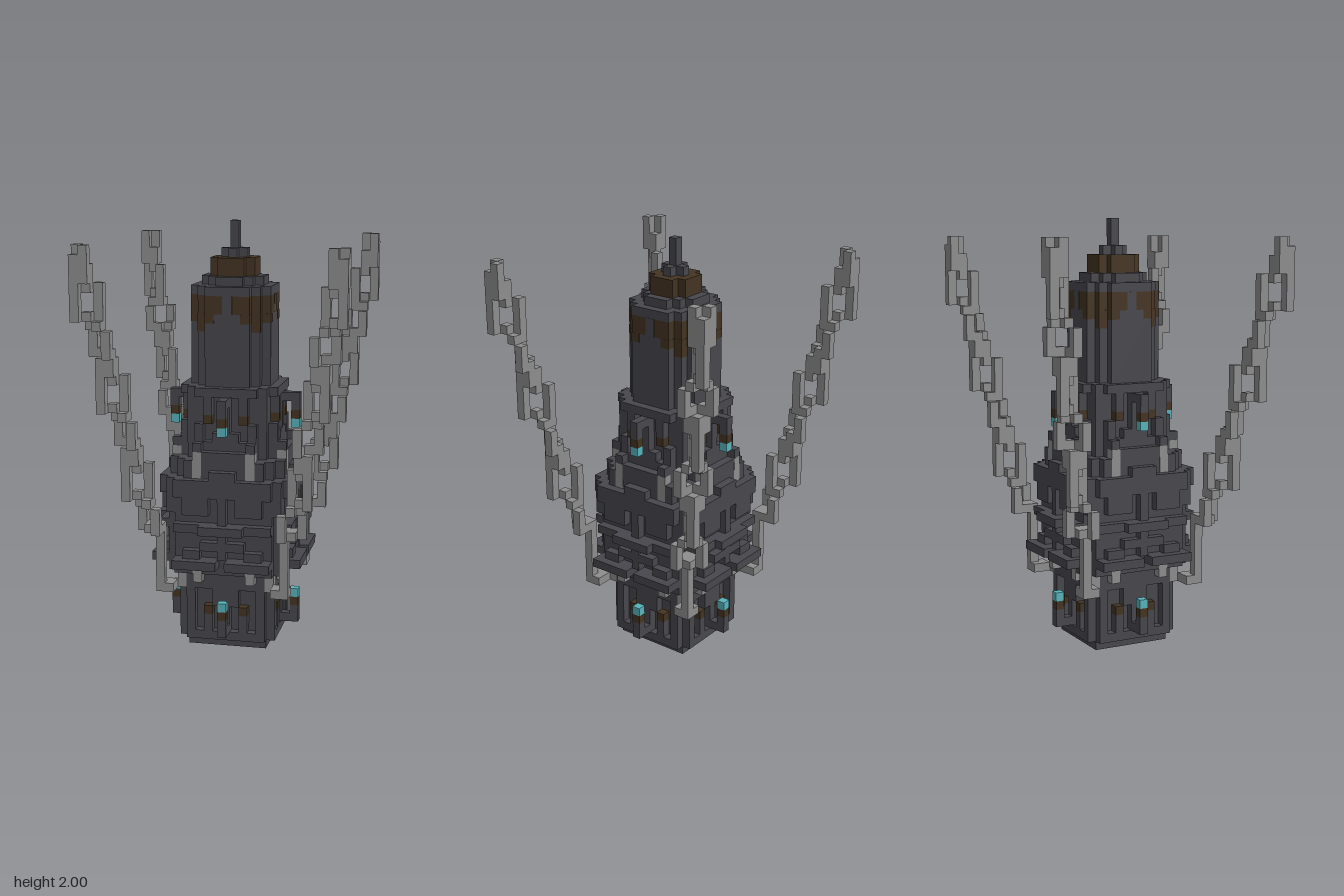
import * as THREE from 'three';
import { mergeGeometries } from 'three/addons/utils/BufferGeometryUtils.js';

const V = 1 / 24; // edge of one cube
const mat = (name, color) => new THREE.MeshStandardMaterial({ name, color });

// A part collects boxes given as inclusive cube ranges, then becomes one mesh
class Part {
  constructor(name, material) {
    this.name = name;
    this.material = material;
    this.list = [];
  }
  box(x0, x1, y0, y1, z0, z1, grow = 0) {
    const g = new THREE.BoxGeometry(x1 - x0 + 1 + 2 * grow, y1 - y0 + 1, z1 - z0 + 1 + 2 * grow);
    g.translate((x0 + x1) / 2, (y0 + y1 + 1) / 2, (z0 + z1) / 2);
    this.list.push(g.scale(V, V, V));
    return this;
  }
  // stepped octagon: arms reach a with half width b, corner block reaches m
  layer(y0, y1, a, b, m = b) {
    this.box(-a, a, y0, y1, -b, b);
    this.box(-b, b, y0, y1, -a, a);
    if (m > b) this.box(-m, m, y0, y1, -m, m);
    return this;
  }
  // box on the front face, mirrored in x
  pair(x0, x1, ...rest) {
    this.box(x0, x1, ...rest);
    if (x0 !== -x1) this.box(-x1, -x0, ...rest);
    return this;
  }
  // repeat everything collected on all four sides
  four() {
    const base = this.list;
    this.list = [0, 1, 2, 3].flatMap(k => base.map(g => g.clone().rotateY(k * Math.PI / 2)));
    return this;
  }
  mesh() {
    const m = new THREE.Mesh(mergeGeometries(this.list), this.material);
    m.name = this.name;
    return m;
  }
}

export function createModel() {
  const dark = mat('dark stone', 0x48474d);
  const brown = mat('dark wood', 0x443422);
  const grey = mat('chain grey', 0x8e8e8e);
  const cyan = mat('lantern cyan', 0x58b4bc);
  const orange = mat('ember orange', 0xd8742c);
  const group = new THREE.Group();
  const add = part => group.add(part.mesh());

  // Base ring, open underneath
  add(new Part('baseRing', dark).box(-4, 4, 0, 0, 3, 4).box(-4, -3, 0, 0, -2, 2).four());

  // Tower core from the bottom up
  add(new Part('towerCore', dark)
    .layer(1, 8, 4, 4)
    .layer(9, 17, 6, 5)
    .layer(18, 19, 7, 5, 6)
    .layer(20, 21, 6, 4, 5)
    .layer(22, 29, 4, 4)
    .layer(30, 37, 4, 2, 3)
    .layer(40, 40, 4, 2, 3)
    .layer(41, 41, 3, 1, 2));

  // Ledges and raised ribs on each face
  add(new Part('faceRelief', dark)
    .pair(-4, 4, 1, 1, 5, 5).pair(2, 2, 2, 3, 5, 5).pair(4, 4, 2, 6, 5, 5)
    .pair(-1, 1, 5, 6, 5, 5).pair(0, 0, 2, 4, 5, 5).pair(-4, 4, 7, 8, 5, 5)
    .pair(1, 5, 10, 10, 7, 8).pair(3, 4, 11, 11, 7, 7)
    .pair(0, 0, 11, 13, 7, 7).pair(1, 2, 12, 12, 7, 7)
    .pair(-5, 5, 14, 14, 7, 7).pair(-2, 2, 14, 14, 8, 8)
    .pair(0, 0, 15, 17, 7, 7).pair(2, 4, 16, 17, 7, 7).pair(6, 6, 16, 17, 6, 6)
    .pair(-1, 1, 20, 20, 7, 7).pair(-2, 2, 22, 22, 5, 6).pair(3, 3, 23, 23, 5, 6)
    .pair(-3, 3, 22, 23, 5, 5).pair(0, 0, 24, 28, 5, 5).pair(3, 3, 24, 25, 5, 5)
    .pair(2, 2, 27, 28, 5, 5).pair(1, 1, 24, 24, 5, 5).pair(-3, 3, 29, 29, 5, 5)
    .four());

  // Wooden pegs at the ends of the short posts
  add(new Part('woodenPegs', brown).pair(2, 2, 4, 4, 5, 5).pair(2, 2, 26, 26, 5, 5).four());

  // Grey studs on each face
  add(new Part('faceStuds', grey).pair(3, 3, 8, 9, 6, 6, 0.02).pair(3, 3, 20, 22, 6, 6, 0.02).four());

  // Lanterns on brackets, standing below and hanging above
  add(new Part('lanternBrackets', dark)
    .box(0, 0, 2, 2, 6, 7).box(0, 0, 3, 3, 7, 7)
    .box(0, 0, 28, 28, 6, 7).box(0, 0, 27, 27, 7, 7).four());
  add(new Part('lanternCaps', brown).box(0, 0, 4, 4, 7, 7).box(0, 0, 26, 26, 7, 7).four());
  add(new Part('lanternLights', cyan).box(0, 0, 5, 5, 7, 7).box(0, 0, 25, 25, 7, 7).four());

  // Wooden band near the top, split by a stone rib on each face
  add(new Part('woodenBand', brown)
    .layer(38, 39, 4, 2, 3)
    .pair(3, 3, 36, 37, 3, 3, 0.03).pair(2, 2, 37, 37, 4, 4, 0.03).four());
  add(new Part('bandRibs', dark).box(0, 0, 38, 39, 4, 4, 0.05).four());

  // Crown and spire
  add(new Part('crown', brown).layer(42, 43, 2, 1));
  add(new Part('spire', dark).layer(44, 44, 1, 0).box(0, 0, 45, 47, 0, 0));

  // Glowing recess under the base
  const ember = new Part('emberPlate', orange).box(-1, 1, 0, 0, -1, 1);
  ember.list[0].scale(1, 0.15, 1).translate(0, 0.85 * V, 0);
  add(ember);
  add(new Part('emberPost', grey).box(0, 0, 0, 0, 0, 0));

  // Four diagonal chains, each stepping inwards as it goes down
  const chain = new Part('chains', grey);
  const cell = (x, z, y0, y1) => chain.box(x, x, y0, y1, z, z);
  const both = (x, z, y0, y1) => { cell(x, z, y0, y1); cell(z, x, y0, y1); };
  const fork = (c, y0, y1) => {
    both(c, c - 1, y0, y1);
    cell(c, c, y0, y1 - 1);
    cell(c - 1, c - 1, y0, y0 + 1);
  };
  fork(14, 42, 45);
  for (let i = 0; i < 3; i++) {
    const c = 13 - 2 * i, y = 38 - 10 * i;
    // link lying in the diagonal plane
    cell(c + 1, c + 1, y, y + 3);
    cell(c - 1, c - 1, y, y + 3);
    cell(c, c, y, y);
    cell(c, c, y + 3, y + 3);
    // link lying across it
    const d = c - 1;
    both(d + 1, d - 1, y - 4, y - 2);
    both(d, d + 1, y - 1, y - 1);
    cell(d, d, y - 1, y - 1);
    if (i < 2) fork(d, y - 6, y - 4);
    else both(d, d - 1, y - 4, y - 4);
  }
  // last hook, gripping the body
  cell(8, 8, 14, 14);
  cell(7, 7, 7, 14);
  both(7, 6, 7, 7);
  cell(6, 6, 7, 7);
  cell(5, 5, 7, 9);
  add(chain.four());

  return group;
}
